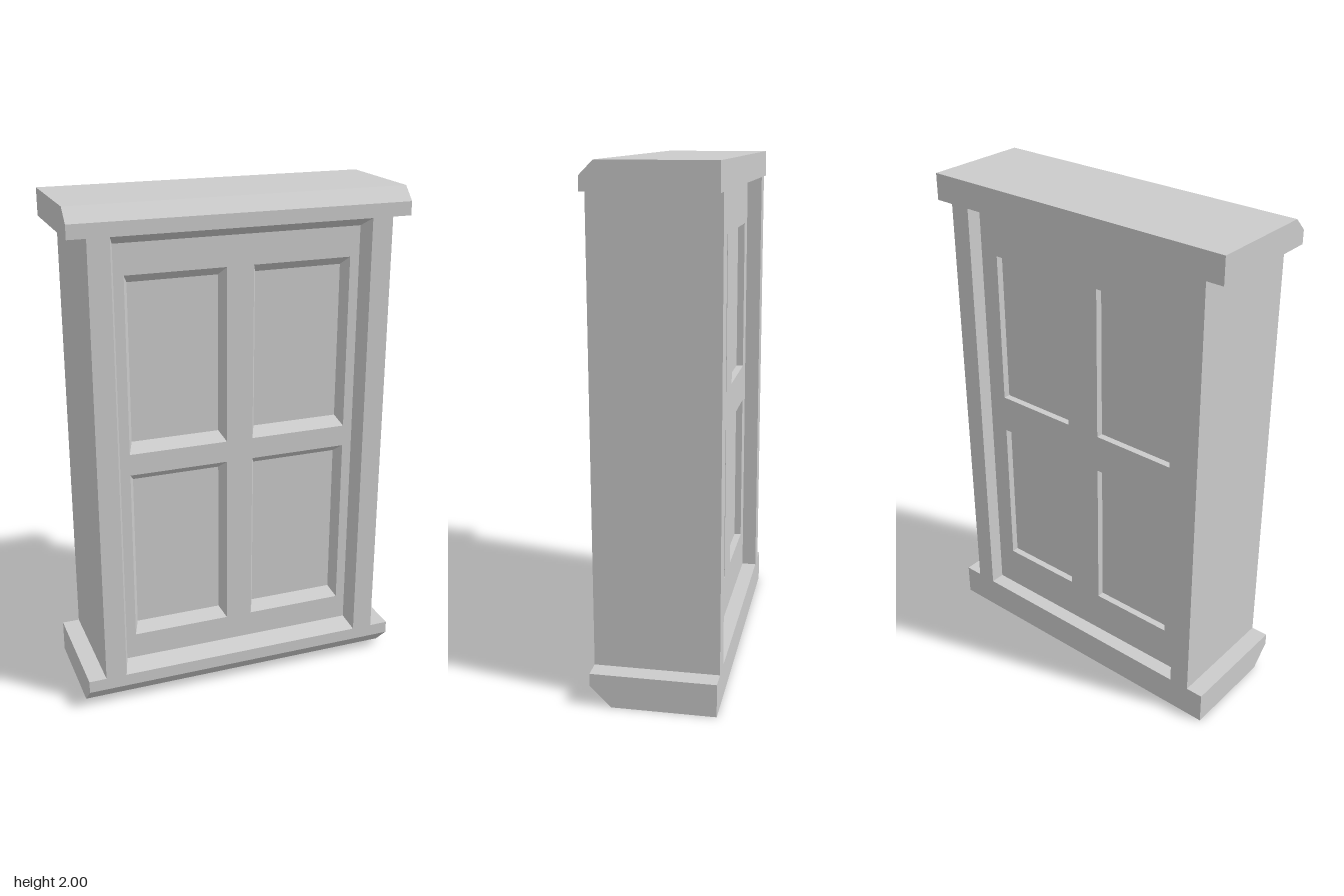
import * as THREE from 'three';

const material = new THREE.MeshStandardMaterial({ color: 0xcccccc, flatShading: true });

function addMesh(parent, name, geometry) {
  const mesh = new THREE.Mesh(geometry, material);
  mesh.name = name;
  parent.add(mesh);
  return mesh;
}

function addBox(parent, name, x0, x1, y0, y1, z0, z1) {
  const mesh = addMesh(parent, name, new THREE.BoxGeometry(x1 - x0, y1 - y0, z1 - z0));
  mesh.position.set((x0 + x1) / 2, (y0 + y1) / 2, (z0 + z1) / 2);
  return mesh;
}

// Rectangles are { x0, x1, y0, y1 }
const corners = (r) => [[r.x0, r.y0], [r.x1, r.y0], [r.x1, r.y1], [r.x0, r.y1]];
const inset = (r, dx, dy) => ({ x0: r.x0 + dx, x1: r.x1 - dx, y0: r.y0 + dy, y1: r.y1 - dy });
const toPoints = (r) => corners(r).map(([x, y]) => new THREE.Vector2(x, y));

function panelShape(outer, holes) {
  const shape = new THREE.Shape(toPoints(outer));
  holes.forEach((h) => shape.holes.push(new THREE.Path(toPoints(h).reverse())));
  return shape;
}

// Four sloping walls facing into an opening that narrows towards the back
function bevelRing(front, back, zFront, zBack) {
  const f = corners(front).map(([x, y]) => [x, y, zFront]);
  const b = corners(back).map(([x, y]) => [x, y, zBack]);
  const pos = [];
  for (let i = 0; i < 4; i++) {
    const j = (i + 1) % 4;
    pos.push(...f[i], ...f[j], ...b[j], ...f[i], ...b[j], ...b[i]);
  }
  const geo = new THREE.BufferGeometry();
  geo.setAttribute('position', new THREE.Float32BufferAttribute(pos, 3));
  geo.computeVertexNormals();
  return geo;
}

// Side profile of [z, y] points swept along x
function profileBar(points, halfWidth) {
  const shape = new THREE.Shape(points.map(([z, y]) => new THREE.Vector2(-z, y)));
  const geo = new THREE.ExtrudeGeometry(shape, { depth: 2 * halfWidth, bevelEnabled: false });
  geo.translate(0, 0, -halfWidth);
  return geo.rotateY(Math.PI / 2);
}

export function createModel() {
  const group = new THREE.Group();
  group.name = 'window';
  const Z = 0.24, sashZ = 0.18, paneFront = 0.137, paneBack = -0.152;
  const opening = { x0: -0.507, x1: 0.501, y0: 0.13, y1: 1.895 };

  // Chamfered sill and lintel
  addMesh(group, 'sill', profileBar(
    [[-Z, 0], [0.16, 0], [Z, 0.08], [Z, 0.13], [-Z, 0.13]], 0.66));
  addMesh(group, 'lintel', profileBar(
    [[-Z, 1.895], [Z, 1.895], [Z, 1.948], [0.188, 2], [-Z, 2]], 0.66));

  // Side jambs
  addBox(group, 'rightJamb', -0.59, opening.x0, 0.13, 1.895, -Z, Z);
  addBox(group, 'leftJamb', opening.x1, 0.584, 0.13, 1.895, -Z, Z);

  // Sloping trim around the front of the opening
  addMesh(group, 'openingTrim', bevelRing(opening, inset(opening, 0.021, 0.036), Z, sashZ));

  // Two by two grid of panes
  const cells = [];
  for (const [x0, x1] of [[-0.447, -0.056], [0.05, 0.442]]) {
    for (const [y0, y1] of [[0.27, 0.969], [1.054, 1.742]]) cells.push({ x0, x1, y0, y1 });
  }
  const panes = cells.map((c) => inset(c, 0.021, 0.035));

  // Sash: pierced front face and pierced back slab
  const sash = new THREE.Group();
  sash.name = 'sash';
  group.add(sash);
  addMesh(sash, 'sashFront', new THREE.ShapeGeometry(panelShape(opening, cells))).position.z = sashZ;
  addMesh(sash, 'sashBack', new THREE.ExtrudeGeometry(panelShape(opening, panes),
    { depth: paneBack + sashZ, bevelEnabled: false })).position.z = -sashZ;

  // Panes with sloping glazing bevels in front
  panes.forEach((p, i) => {
    addMesh(sash, 'paneBevel', bevelRing(cells[i], p, sashZ, paneFront));
    addBox(sash, 'pane', p.x0, p.x1, p.y0, p.y1, paneBack, paneFront);
  });

  return group;
}
